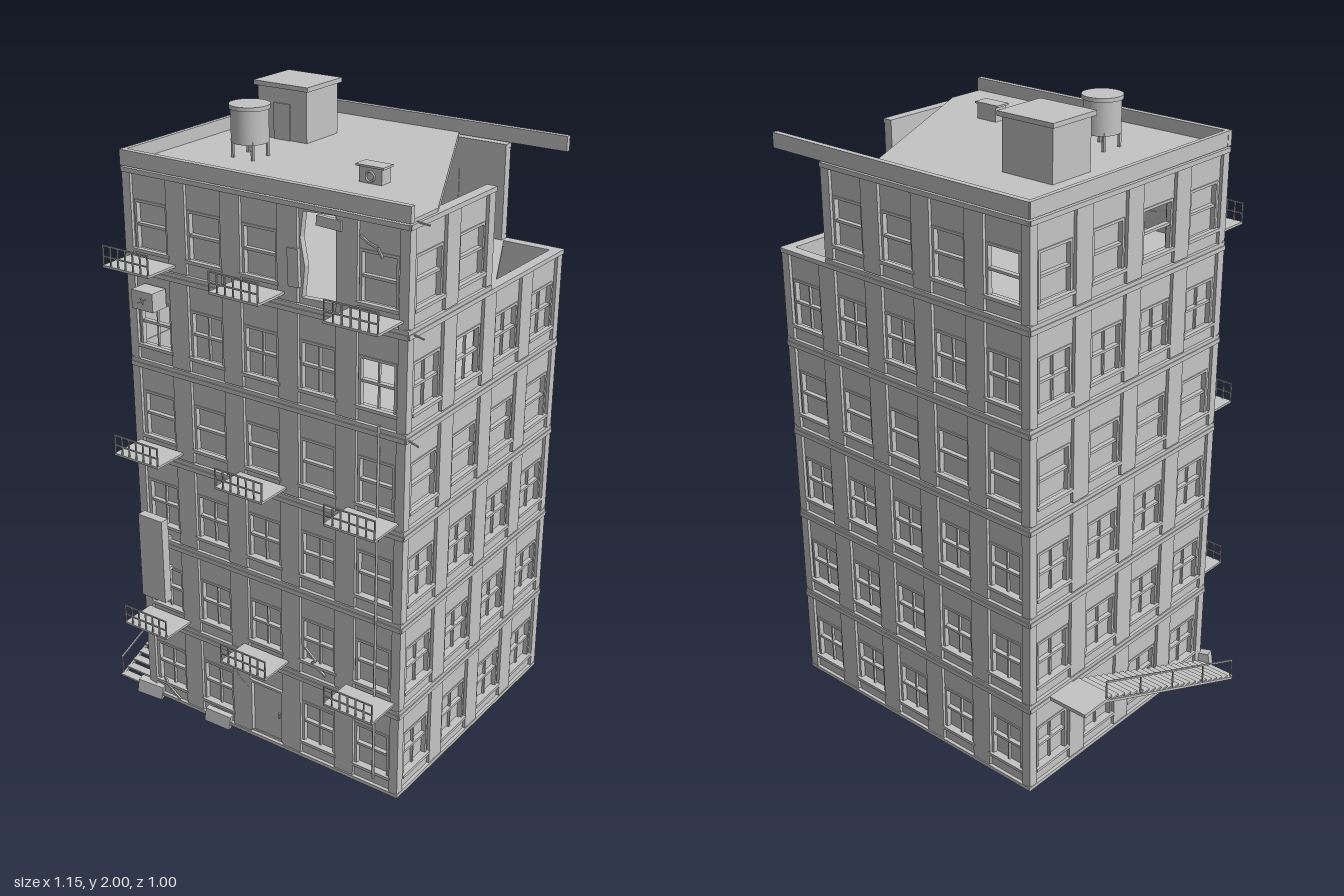
import * as THREE from 'three';

const concrete = new THREE.MeshStandardMaterial({ color: 0xc4c4c4 });
concrete.name = 'concrete grey';

const H = 0.3, BASE = 0.02;          // storey height and ground offset
const X0 = -0.44, X1 = 0.54, Z0 = -0.5, Z1 = 0.38;

function add(parent, name, geo, x = 0, y = 0, z = 0, rx = 0, ry = 0, rz = 0) {
  const m = new THREE.Mesh(geo, concrete);
  m.name = name;
  m.position.set(x, y, z);
  m.rotation.set(rx, ry, rz);
  parent.add(m);
  return m;
}
const box = (w, h, d) => new THREE.BoxGeometry(w, h, d);
const poly = pts => new THREE.Shape(pts.map(p => new THREE.Vector2(p[0], p[1])));

// Thin straight bar between two points
function bar(parent, name, a, b, t) {
  const A = new THREE.Vector3(...a), B = new THREE.Vector3(...b);
  const m = add(parent, name, box(t, t, A.distanceTo(B)));
  m.position.copy(A).add(B).multiplyScalar(0.5);
  m.lookAt(B);
}

// One wall of storeys and bays; local x runs along the wall, +z faces out
function facade(root, name, width, cols, pos, ry, opt) {
  const g = new THREE.Group();
  g.name = name;
  g.position.set(...pos);
  g.rotation.y = ry;
  root.add(g);
  const cw = width / cols, ww = cw * 0.63, y0 = 0.06, y1 = 0.208, wh = y1 - y0, ym = (y0 + y1) / 2;
  const rect = (l, r, b, t) => [[l, b], [r, b], [r, t], [l, t]];
  const wallGeo = hole => {
    const s = poly(rect(-cw / 2, cw / 2, 0, H));
    s.holes.push(poly(hole));
    return new THREE.ExtrudeGeometry(s, { depth: 0.02, bevelEnabled: false }).translate(0, 0, -0.03);
  };
  const wall = wallGeo(rect(-ww / 2, ww / 2, y0, y1));
  const doorWall = wallGeo(rect(-ww / 2, ww / 2, 0.02, y1));
  const brokenWall = wallGeo([[-0.055, 0.03], [0.06, 0.035], [0.065, 0.15], [0.055, 0.28], [-0.05, 0.275], [-0.06, 0.2], [-0.045, 0.12]]);
  const pilaster = box(0.034, H - 0.03, 0.012), endPilaster = box(0.02, H - 0.03, 0.012);
  const band = box(cw, 0.014, 0.018), foot = box(cw, 0.012, 0.014);
  const jamb = box(0.008, wh, 0.016), rail = box(ww, 0.008, 0.016), mullion = box(0.005, wh, 0.008);
  const sill = box(ww + 0.015, 0.01, 0.016), pane = box(ww, wh, 0.003);
  const at = (list, f, c) => (list || []).some(p => p[0] === f && p[1] === c);

  for (let f = 0; f < 6; f++) for (let c = 0; c < cols; c++) {
    if (at(opt.missing, f, c)) continue;
    const x = (c - (cols - 1) / 2) * cw, y = BASE + f * H;
    const put = (n, geo, dx, dy, z) => add(g, n, geo, x + dx, y + dy, z);
    const broken = at(opt.broken, f, c), door = at(opt.door, f, c);
    put('wallBay', broken ? brokenWall : door ? doorWall : wall, 0, 0, 0);
    put('storeyBand', band, 0, H - 0.007, -0.005);
    put('bayFoot', foot, 0, 0.006, -0.006);
    // pilaster pair around each bay boundary
    for (const s of [-1, 1]) {
      const end = (s < 0 && c === 0) || (s > 0 && c === cols - 1);
      put('pilaster', end ? endPilaster : pilaster, s * (cw / 2 - (end ? 0.01 : 0.017)), H / 2, -0.006);
    }
    if (broken) continue;
    if (door) {
      put('door', box(ww - 0.01, 0.185, 0.008), 0, 0.113, -0.016);
      for (const s of [-1, 1]) put('doorJamb', box(0.007, 0.19, 0.016), s * ww / 2, 0.115, -0.008);
      put('doorHead', box(ww + 0.012, 0.008, 0.016), 0, y1, -0.008);
      put('doorHandle', box(0.004, 0.02, 0.008), ww * 0.35, 0.11, -0.011);
      continue;
    }
    for (const s of [-1, 1]) put('windowJamb', jamb, s * (ww / 2 - 0.004), ym, -0.015);
    put('windowHead', rail, 0, y1 - 0.004, -0.015);
    put('windowSill', sill, 0, y0 - 0.003, -0.006);
    put('sashBar', rail, 0, ym, -0.018);
    if (f !== 3 && f !== 5) put('mullion', mullion, 0, ym, -0.018);
    if (!at(opt.open, f, c)) put('pane', pane, 0, ym, -0.026);
  }
}

// Horizontal slab from an outline in x and z
function slab(root, name, top, pts, t) {
  const geo = new THREE.ExtrudeGeometry(poly(pts), { depth: t, bevelEnabled: false }).rotateX(Math.PI / 2);
  add(root, name, geo, 0, top, 0);
}

function balcony(root, x, y) {
  const g = new THREE.Group();
  g.name = 'balcony';
  g.position.set(x, y, Z1);
  root.add(g);
  const w = 0.172, d = 0.12;
  add(g, 'balconyFloor', box(w, 0.007, d), 0, 0, d / 2);
  for (const h of [0.03, 0.062]) add(g, 'balconyRail', box(w, 0.004, 0.004), 0, h, d - 0.003);
  for (let i = 0; i < 7; i++) add(g, 'baluster', box(0.004, 0.064, 0.004), (i / 6 - 0.5) * (w - 0.004), 0.032, d - 0.003);
}

export function createModel() {
  const root = new THREE.Group();
  root.name = 'damagedApartmentBlock';
  const cx = (X0 + X1) / 2, cz = (Z0 + Z1) / 2, W = X1 - X0, D = Z1 - Z0;

  // Walls
  facade(root, 'frontWall', W, 5, [cx, 0, Z1], 0, { open: [[4, 0], [4, 4]], broken: [[5, 3]], door: [[0, 2]] });
  facade(root, 'leftWall', D, 4, [X1, 0, cz], Math.PI / 2, { open: [[4, 1]], missing: [[5, 2], [5, 3]] });
  facade(root, 'backWall', W, 5, [cx, 0, Z0], Math.PI, { open: [[5, 4]], missing: [[5, 0]] });
  facade(root, 'rightWall', D, 4, [X0, 0, cz], -Math.PI / 2, { open: [[5, 2]] });

  // Floors, the upper ones broken off at the back corner
  const l = X0 + 0.015, r = X1 - 0.015, b = Z0 + 0.015, f = Z1 - 0.015;
  slab(root, 'baseSlab', BASE + 0.01, [[l, b], [r, b], [r, f], [l, f]], 0.01);
  for (let i = 1; i < 5; i++) slab(root, 'floorSlab', BASE + i * H, [[l, b], [r, b], [r, f], [l, f]], 0.015);
  slab(root, 'brokenFloor', BASE + 5 * H, [[l, b], [0.345, b], [r, -0.11], [r, f], [l, f]], 0.015);
  slab(root, 'brokenRoof', 1.83, [[l, b], [0.17, b], [r + 0.01, 0.24], [r + 0.01, f], [l, f]], 0.02);

  // Parapets, the back one left hanging over the gap
  add(root, 'frontParapet', box(W + 0.004, 0.046, 0.018), cx, 1.847, Z1 - 0.006);
  add(root, 'backParapet', box(W - 0.005, 0.046, 0.018), cx, 1.847, Z0 + 0.006);
  add(root, 'rightParapet', box(0.014, 0.046, D), X0 + 0.006, 1.847, cz);

  // Roof hut
  add(root, 'roofHut', box(0.18, 0.16, 0.16), -0.22, 1.905, -0.18);
  add(root, 'hutCap', box(0.2, 0.014, 0.18), -0.22, 1.993, -0.18);
  add(root, 'hutDoor', box(0.06, 0.11, 0.006), -0.22, 1.885, -0.099);

  // Water tank on legs
  const tank = new THREE.Group();
  tank.name = 'waterTank';
  tank.position.set(-0.18, 0, 0.11);
  root.add(tank);
  add(tank, 'tankBody', new THREE.CylinderGeometry(0.056, 0.056, 0.1, 24), 0, 1.925, 0);
  add(tank, 'tankLid', new THREE.CylinderGeometry(0.061, 0.061, 0.012, 24), 0, 1.979, 0);
  for (const sx of [-1, 1]) for (const sz of [-1, 1])
    add(tank, 'tankLeg', box(0.008, 0.06, 0.008), sx * 0.036, 1.855, sz * 0.036);

  // Roof cooling unit
  add(root, 'roofUnit', box(0.075, 0.048, 0.045), 0.264, 1.852, 0.128);
  add(root, 'roofUnitLid', box(0.092, 0.006, 0.05), 0.264, 1.878, 0.13);
  add(root, 'roofUnitFan', new THREE.TorusGeometry(0.014, 0.003, 6, 16), 0.264, 1.85, 0.152);

  // Balconies on alternate storeys and bays
  for (const y of [0.355, 0.955, 1.555]) for (const x of [-0.336, 0.053, 0.438]) balcony(root, x, y);

  // Window cooling unit
  add(root, 'windowUnit', box(0.08, 0.058, 0.06), -0.335, 1.448, 0.407);
  bar(root, 'unitFanBlade', [-0.35, 1.44, 0.438], [-0.32, 1.456, 0.438], 0.004);
  bar(root, 'unitFanBlade', [-0.34, 1.457, 0.438], [-0.33, 1.439, 0.438], 0.004);

  // Blank hanging sign board and its brackets
  add(root, 'signBoard', box(0.095, 0.29, 0.03), -0.348, 0.585, 0.425);
  for (const y of [0.53, 0.64]) add(root, 'signBracket', box(0.05, 0.012, 0.05), -0.348, y, 0.395);

  // Outside stair along the right wall
  const stair = new THREE.Group();
  stair.name = 'outsideStair';
  root.add(stair);
  const n = 22, sx = -0.5075;
  for (let i = 0; i < n; i++)
    add(stair, 'tread', box(0.132, 0.006, 0.029), sx, 0.03 + i * 0.285 / (n - 1), 0.365 - i * 0.66 / (n - 1));
  add(stair, 'landing', box(0.138, 0.012, 0.102), sx, 0.314, -0.361);
  for (const x of [-0.572, -0.443]) bar(stair, 'stringer', [x, 0.022, 0.375], [x, 0.312, -0.312], 0.008);
  bar(stair, 'handrail', [-0.573, 0.095, 0.37], [-0.573, 0.38, -0.31], 0.005);
  for (let i = 0; i < 5; i++)
    add(stair, 'railPost', box(0.004, 0.07, 0.004), -0.573, 0.06 + i * 0.071, 0.368 - i * 0.169);

  // Drainpipe on the front
  add(root, 'drainpipe', new THREE.CylinderGeometry(0.004, 0.004, 1.18, 8), 0.455, 0.65, 0.382);

  // Bent reinforcing rods at the corner
  [1.815, 1.515, 1.215].forEach((y, i) =>
    bar(root, 'rod', [0.52, y + 0.006, 0.343 + i * 0.013], [0.575, y - 0.005 + 0.006 * (1 - i), 0.343 + i * 0.013], 0.004));

  // Torn pieces around the hole in the top storey
  add(root, 'wallFragment', box(0.036, 0.11, 0.012), 0.17, 1.635, 0.378, 0, 0, 0.03);
  add(root, 'wallFragment', box(0.08, 0.028, 0.014), 0.29, 1.782, 0.38, 0, 0, -0.04);

  // Rubble at the foot of the front
  add(root, 'rubble', box(0.09, 0.05, 0.03), -0.43, 0.036, 0.382, 0, 0.25, -0.15);
  add(root, 'rubble', box(0.09, 0.05, 0.02), -0.14, 0.038, 0.388, 0, 0.18, -0.15);

  // Zigzag cracks as thin bars
  const cracks = [
    [[-0.09, 0.265], [-0.07, 0.25], [-0.06, 0.225], [-0.02, 0.2]],
    [[0.2, 0.43], [0.24, 0.395], [0.225, 0.385], [0.275, 0.355]],
    [[-0.375, 0.1], [-0.36, 0.07], [-0.34, 0.055], [-0.31, 0.035]],
    [[0.385, 1.765], [0.41, 1.75], [0.44, 1.74], [0.455, 1.715]],
  ];
  for (const c of cracks) for (let i = 0; i < 3; i++)
    bar(root, 'crack', [...c[i], 0.378], [...c[i + 1], 0.378], 0.006);

  return root;
}
